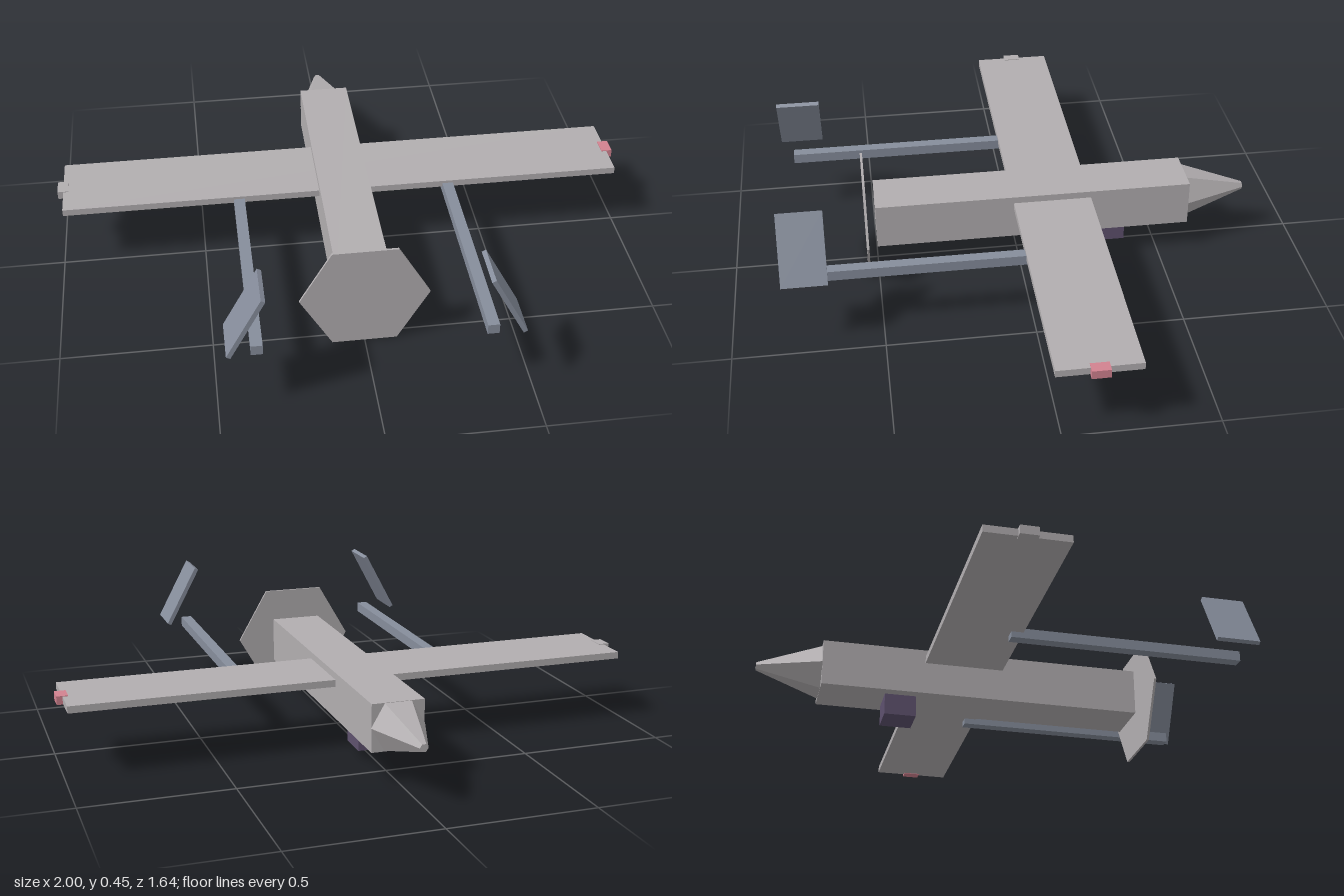
import * as THREE from 'three';

export function createModel() {
  const model = new THREE.Group();
  model.name = 'drone';

  const mat = (name, color) => {
    const m = new THREE.MeshStandardMaterial({ color });
    m.name = name;
    return m;
  };
  const grey = mat('body grey', 0xb2aeb0);
  const slate = mat('slate blue', 0x868d9b);
  const red = mat('light red', 0xd28290);
  const purple = mat('sensor purple', 0x5e516e);

  const add = (name, geometry, material, x, y, z) => {
    const mesh = new THREE.Mesh(geometry, material);
    mesh.name = name;
    mesh.position.set(x, y, z);
    model.add(mesh);
    return mesh;
  };
  // Box given by its low and high corners
  const box = (name, material, [x0, y0, z0], [x1, y1, z1]) =>
    add(name, new THREE.BoxGeometry(x1 - x0, y1 - y0, z1 - z0), material,
      (x0 + x1) / 2, (y0 + y1) / 2, (z0 + z1) / 2);
  // Six-sided prism or cone along z, with corners on the x axis
  const hexagon = (rBack, rFront, length) => {
    const g = new THREE.CylinderGeometry(rFront, rBack, length, 6);
    g.rotateY(Math.PI / 6 + Math.PI / 3);
    g.rotateX(Math.PI / 2);
    const flat = g.toNonIndexed();
    flat.computeVertexNormals();
    return flat;
  };

  // Fuselage, tapered nose and sensor pod
  box('fuselage', grey, [-0.089, 0.108, -0.605], [0.089, 0.269, 0.5]);
  add('nose', hexagon(0.014, 0.091, 0.217), grey, 0, 0.189, -0.7135);
  box('sensorPod', purple, [-0.054, 0.034, -0.384], [0.054, 0.109, -0.276]);

  // Wing and pusher propeller disc
  box('wing', grey, [-0.98, 0.221, -0.252], [0.98, 0.245, 0.02]);
  add('propellerDisc', hexagon(0.215, 0.215, 0.008), grey, 0, 0.187, 0.534);

  // Wingtip lights, tail booms and inward-leaning fins
  for (const s of [1, -1]) {
    const side = s > 0 ? 'left' : 'right';
    const light = add(side + 'WingLight', new THREE.BoxGeometry(0.038, 0.029, 0.06),
      s > 0 ? red : grey, s * 0.981, 0.233, -0.116);
    light.name = side + 'WingLight';
    add(side + 'Boom', new THREE.BoxGeometry(0.038, 0.035, 0.8), slate, s * 0.37, 0.218, 0.378);
    const fin = add(side + 'Fin', new THREE.BoxGeometry(0.015, 0.24, 0.151), slate, s * 0.403, 0.343, 0.7465);
    fin.rotation.z = s * 0.49;
  }
  return model;
}
